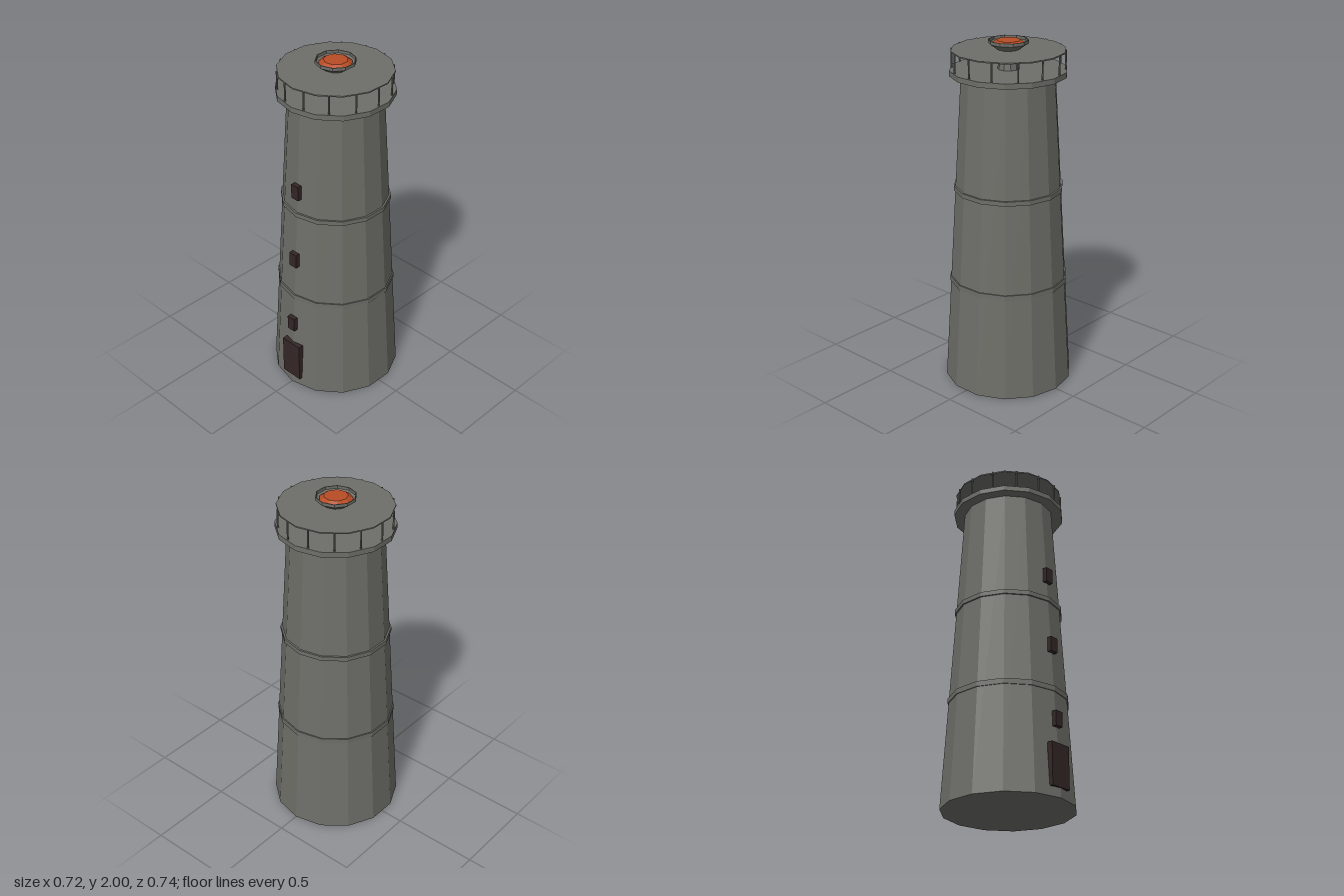
import * as THREE from 'three';

export function createModel() {
  const group = new THREE.Group();
  const mat = (name, color) => {
    const m = new THREE.MeshStandardMaterial({ color, flatShading: true });
    m.name = name;
    return m;
  };
  const stone = mat('grey stone', 0x6e6f69);
  const wood = mat('dark wood', 0x342626);
  const ember = mat('glowing orange', 0xb84c24);
  const bowlStone = stone.clone();
  bowlStone.name = 'grey stone bowl';
  bowlStone.side = THREE.DoubleSide;

  const SIDES = 14;
  const add = (name, geometry, material, x = 0, y = 0, z = 0) => {
    const mesh = new THREE.Mesh(geometry, material);
    mesh.name = name;
    mesh.position.set(x, y, z);
    group.add(mesh);
    return mesh;
  };
  // Tapered prism standing between two heights
  const drum = (name, rTop, rBottom, y0, y1, material = stone, sides = SIDES, start = 0) =>
    add(name, new THREE.CylinderGeometry(rTop, rBottom, y1 - y0, sides, 1, false, start),
      material, 0, (y0 + y1) / 2);

  // Tower shaft and its bands
  const baseR = 0.37, topR = 0.262, shaftH = 1.81;
  const radiusAt = (y) => baseR + (topR - baseR) * y / shaftH;
  drum('towerShaft', topR, baseR, 0, shaftH);
  drum('lowerBand', 0.339, 0.339, 0.604, 0.634);
  drum('upperBand', 0.31, 0.31, 1.154, 1.18);

  // Gallery floor, posts and thin cover
  drum('galleryFloor', 0.325, 0.325, 1.81, 1.84);
  drum('galleryCover', 0.315, 0.315, 1.941, 1.948);
  const postGeometry = new THREE.BoxGeometry(0.007, 0.11, 0.007);
  for (let i = 0; i < SIDES; i++) {
    const a = (i + 0.5) * 2 * Math.PI / SIDES;
    add('galleryPost', postGeometry, stone, Math.sin(a) * 0.31, 1.894, Math.cos(a) * 0.31);
  }

  // Pedestal, fire bowl and embers
  drum('pedestal', 0.045, 0.06, 1.84, 1.95, stone, 10);
  const bowlProfile = [[0, 1.947], [0.06, 1.947], [0.111, 1.982], [0.111, 2], [0.106, 2], [0.106, 1.984], [0.058, 1.953], [0, 1.953]]
    .map(([r, y]) => new THREE.Vector2(r, y));
  add('fireBowl', new THREE.LatheGeometry(bowlProfile, 10), bowlStone);
  drum('emberTop', 0.066, 0.092, 1.98, 1.998, ember, 9, -Math.PI / 2);
  drum('emberBase', 0.092, 0.066, 1.955, 1.98, ember, 9, -Math.PI / 2);

  // Door and windows on the front
  add('door', new THREE.BoxGeometry(0.134, 0.24, 0.032), wood, 0, 0.175, 0.356);
  const windowGeometry = new THREE.BoxGeometry(0.052, 0.086, 0.027);
  for (const y of [0.437, 0.877, 1.314]) {
    add('window', windowGeometry, wood, 0, y, radiusAt(y) + 0.01);
  }
  return group;
}
